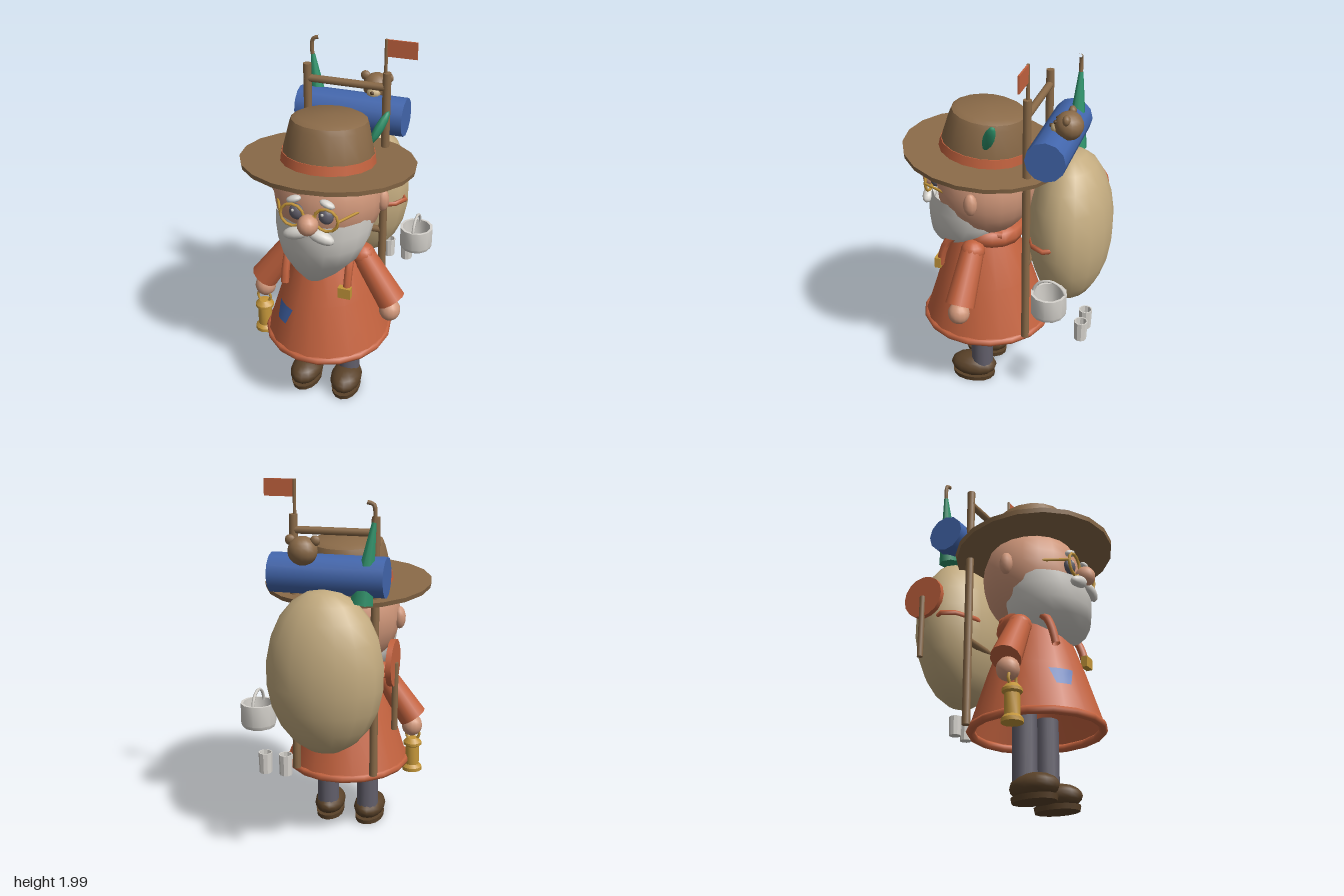
import * as THREE from 'three';
import { toCreasedNormals } from 'three/addons/utils/BufferGeometryUtils.js';

const mat = (name, color, side = THREE.FrontSide) => {
  const m = new THREE.MeshStandardMaterial({ color, side });
  m.name = name;
  return m;
};
const V = (x, y, z) => new THREE.Vector3(x, y, z);

export function createModel() {
  const root = new THREE.Group();
  root.name = 'travellingGnome';
  const red = mat('rust red', 0xc4633f, THREE.DoubleSide);
  const brown = mat('wood brown', 0x8a6a48);
  const tan = mat('canvas tan', 0xc4ac80);
  const blue = mat('blue', 0x4367ae, THREE.DoubleSide);
  const skin = mat('skin', 0xd0977a);
  const white = mat('off white', 0xd6d3cd, THREE.DoubleSide);
  const gold = mat('brass', 0xc4963a);
  const green = mat('leaf green', 0x2f946c);
  const dark = mat('dark leather', 0x5a4229);
  const slate = mat('slate', 0x625f6b);

  const add = (name, geo, material, pos = [0, 0, 0], parent = root) => {
    const m = new THREE.Mesh(geo, material);
    m.name = name;
    m.position.set(...pos);
    parent.add(m);
    return m;
  };
  const ball = (name, r, material, pos, parent = root, seg = 14) => {
    const m = add(name, new THREE.SphereGeometry(1, seg, Math.round(seg * 0.7)), material, pos, parent);
    m.scale.set(...r);
    return m;
  };
  // tapered rod from a (radius ra) to b (radius rb)
  const rod = (name, a, b, ra, rb, material, seg = 10, parent = root) => {
    const d = b.clone().sub(a);
    const m = add(name, new THREE.CylinderGeometry(rb, ra, d.length(), seg), material,
      a.clone().add(b).multiplyScalar(0.5).toArray(), parent);
    m.quaternion.setFromUnitVectors(V(0, 1, 0), d.normalize());
    return m;
  };
  const lathe = (pts, seg = 16, crease = 0.6) => toCreasedNormals(
    new THREE.LatheGeometry(pts.map(p => new THREE.Vector2(...p)), seg), crease);
  const tube = (name, pts, r, material, n = 12) => add(name,
    new THREE.TubeGeometry(new THREE.CatmullRomCurve3(pts), n, r, 7), material);

  // coat, hem and scarf
  const coatZ = 0.135;
  add('coat', lathe([[0.335, 0.42], [0.25, 0.7], [0.165, 0.95], [0.13, 1.02]], 18), red, [0, 0, coatZ]).scale.z = 1.05;
  const hem = add('coatHem', new THREE.TorusGeometry(0.327, 0.022, 7, 18), red, [0, 0.41, coatZ]);
  hem.rotation.x = Math.PI / 2;
  hem.scale.y = 1.05;
  const scarf = add('scarf', new THREE.TorusGeometry(0.145, 0.05, 8, 16), red, [0, 0.98, 0.115]);
  scarf.rotation.x = Math.PI / 2 - 0.08;
  scarf.scale.z = 1.15;

  // patch following the coat surface
  const patchGeo = new THREE.PlaneGeometry(1, 1, 4, 3);
  const pp = patchGeo.attributes.position;
  for (let i = 0; i < pp.count; i++) {
    const u = pp.getX(i) + 0.5, v = pp.getY(i) + 0.5;
    const x = -0.21 + u * (0.06 + 0.04 * v), y = 0.56 + v * 0.09;
    const r = 0.335 - (y - 0.42) * 0.304;
    pp.setXYZ(i, x, y, coatZ + 1.05 * Math.sqrt(r * r - x * x) + 0.012);
  }
  patchGeo.computeVertexNormals();
  add('coatPatch', patchGeo, blue);

  // limbs and straps, mirrored
  for (const s of [-1, 1]) {
    const side = s > 0 ? 'left' : 'right';
    rod(side + 'Leg', V(s * 0.118, 0.1, 0.13), V(s * 0.118, 0.5, 0.13), 0.063, 0.063, slate, 12);
    const shoe = new THREE.Group();
    shoe.name = side + 'Shoe';
    shoe.position.set(s * 0.12, 0, 0.182);
    shoe.rotation.y = s * 0.06;
    root.add(shoe);
    ball('shoeUpper', [0.088, 0.068, 0.135], dark, [0, 0.088, 0], shoe);
    add('shoeSole', new THREE.CylinderGeometry(0.082, 0.078, 0.028, 14), dark, [0, 0.026, 0], shoe).scale.z = 1.55;
    rod(side + 'Sleeve', V(s * 0.19, 0.93, 0.145), V(s * 0.367, 0.67, 0.165), 0.062, 0.08, red, 12);
    ball(side + 'Shoulder', [0.068, 0.062, 0.066], red, [s * 0.195, 0.92, 0.145]);
    ball(side + 'Hand', [0.058, 0.062, 0.06], skin, [s * 0.362, 0.615, 0.175]);
    tube(side + 'Strap', [V(s * 0.13, 1.0, 0.0), V(s * 0.16, 1.01, 0.15), V(s * 0.17, 0.95, 0.285),
      V(s * 0.172, 0.87, 0.325), V(s * 0.172, 0.785, 0.345)], 0.022, red);
    ball(side + 'Ear', [0.034, 0.062, 0.037], skin, [s * 0.29, 1.25, 0.12], root, 10);

    // face details
    ball(side + 'Eye', [0.04, 0.044, 0.03], slate, [s * 0.078, 1.258, 0.385], root, 12);
    ball(side + 'EyeGlint', [0.009, 0.009, 0.005], white, [s * 0.078 - 0.012, 1.275, 0.411], root, 6);
    add(side + 'GlassesRim', new THREE.TorusGeometry(0.062, 0.008, 6, 12), gold, [s * 0.09, 1.255, 0.42]);
    rod(side + 'GlassesArm', V(s * 0.152, 1.258, 0.42), V(s * 0.262, 1.258, 0.2), 0.007, 0.007, gold, 6);
    ball(side + 'Eyebrow', [0.042, 0.019, 0.024], white, [s * 0.088, 1.332, 0.395], root, 10).rotation.z = -s * 0.35;
    ball(side + 'Moustache', [0.075, 0.034, 0.035], white, [s * 0.065, 1.162, 0.43], root, 12).rotation.z = -s * 0.3;
  }
  rod('glassesBridge', V(-0.03, 1.265, 0.425), V(0.03, 1.265, 0.425), 0.007, 0.007, gold, 6);
  add('strapBuckle', new THREE.BoxGeometry(0.068, 0.06, 0.035), gold, [0.165, 0.8, 0.352]);

  // head, nose and beard
  ball('head', [0.29, 0.3, 0.27], skin, [0, 1.26, 0.125], root, 20);
  ball('nose', [0.054, 0.055, 0.055], skin, [0, 1.222, 0.438]);
  const rows = [[0.845, 0.005, 0.345, 0.005], [0.865, 0.06, 0.33, 0.07], [0.905, 0.13, 0.29, 0.13],
    [0.97, 0.205, 0.24, 0.2], [1.05, 0.242, 0.205, 0.24], [1.13, 0.258, 0.185, 0.258], [1.2, 0.262, 0.17, 0.25]];
  const beardGeo = new THREE.LatheGeometry(rows.map(r => new THREE.Vector2(r[1], r[0])), 18);
  const bp = beardGeo.attributes.position;
  for (let i = 0; i < bp.count; i++) {
    const [, rx, zc, rz] = rows[i % rows.length];
    bp.setZ(i, zc + bp.getZ(i) / rx * rz);
  }
  add('beard', beardGeo, white);

  // hat, tipped back
  const hat = new THREE.Group();
  hat.name = 'hat';
  hat.position.set(0, 1.43, 0.132);
  hat.rotation.x = -0.1;
  root.add(hat);
  add('hatBrim', new THREE.CylinderGeometry(0.455, 0.45, 0.025, 20), brown, [0, 0, 0], hat).scale.z = 0.95;
  add('hatBand', new THREE.CylinderGeometry(0.24, 0.247, 0.05, 18), red, [0, 0.036, 0], hat);
  add('hatCrown', lathe([[0.236, 0.01], [0.236, 0.06], [0.204, 0.2], [0.194, 0.228], [0.165, 0.243], [0, 0.248]], 18, 0.5), brown, [0, 0, 0], hat);
  const feather = ball('hatFeather', [0.024, 0.095, 0.03], green, [0.238, 1.608, 0.034], root, 8);
  feather.quaternion.setFromUnitVectors(V(0, 1, 0), V(0.075, 0.16, -0.07).normalize());

  // pack with its strap
  ball('pack', [0.31, 0.435, 0.223], tan, [0, 1.055, -0.342], root, 16);
  const band = add('packStrap', new THREE.TorusGeometry(1, 0.04, 6, 12), red, [0, 1.05, -0.27]);
  band.rotation.x = Math.PI / 2;
  band.scale.set(0.31, 0.14, 0.35);

  // carrying frame and flag
  for (const s of [-1, 1]) {
    rod('framePost', V(s * 0.216, 0.43, -0.155), V(s * 0.216, 1.825, -0.155), 0.022, 0.022, brown);
  }
  for (const y of [1.745, 0.9]) rod('frameRung', V(-0.225, y, -0.155), V(0.225, y, -0.155), 0.02, 0.02, brown);
  rod('flagPole', V(0.208, 1.8, -0.155), V(0.208, 2, -0.155), 0.009, 0.009, brown, 8);
  add('flag', new THREE.BoxGeometry(0.155, 0.088, 0.009), red, [0.292, 1.956, -0.155]);

  // bedroll and horn-shaped root
  rod('bedroll', V(-0.3, 1.545, -0.267), V(0.295, 1.545, -0.267), 0.104, 0.104, blue, 12);
  rod('greenHorn', V(-0.185, 1.42, -0.31), V(-0.243, 1.82, -0.31), 0.06, 0.012, green, 7);
  tube('hornStem', [V(-0.241, 1.8, -0.31), V(-0.248, 1.86, -0.308), V(-0.24, 1.905, -0.308), V(-0.208, 1.916, -0.31)], 0.011, brown, 8);

  // toy bear head on the bedroll
  const bear = new THREE.Group();
  bear.name = 'toyBear';
  bear.position.set(0.11, 1.672, -0.338);
  root.add(bear);
  ball('bearHead', [0.076, 0.073, 0.073], brown, [0, 0, 0], bear);
  ball('bearMuzzle', [0.038, 0.03, 0.03], tan, [0, -0.018, 0.062], bear, 10);
  ball('bearNose', [0.012, 0.01, 0.01], dark, [0, -0.008, 0.09], bear, 8);
  for (const s of [-1, 1]) {
    ball('bearEar', [0.027, 0.027, 0.02], brown, [s * 0.064, 0.052, 0], bear, 10);
    ball('bearEye', [0.01, 0.01, 0.01], dark, [s * 0.028, 0.022, 0.064], bear, 8);
  }

  // frying pan hung on the right
  rod('pan', V(-0.368, 1.14, -0.352), V(-0.34, 1.14, -0.352), 0.118, 0.118, red, 16);
  rod('panHandle', V(-0.367, 0.79, -0.352), V(-0.367, 1.14, -0.352), 0.016, 0.016, brown, 8);

  // cooking pot and cups hung on the left
  add('pot', lathe([[0, 0.725], [0.085, 0.725], [0.094, 0.745], [0.094, 0.855], [0.08, 0.855], [0.078, 0.745], [0, 0.74]], 12), white, [0.37, 0, -0.323]);
  add('potHandle', new THREE.TorusGeometry(0.083, 0.008, 6, 12, Math.PI), white, [0.37, 0.84, -0.323]).rotation.y = Math.PI / 2;
  for (const x of [0.28, 0.17]) {
    add('cup', lathe([[0, 0.535], [0.033, 0.535], [0.036, 0.645], [0.03, 0.645], [0.028, 0.55], [0, 0.55]], 10), white, [x, 0, -0.478]);
  }

  // lantern in the right hand
  add('lantern', lathe([[0, 0.335], [0.056, 0.335], [0.056, 0.355], [0.04, 0.372], [0.038, 0.48], [0.052, 0.49],
    [0.052, 0.505], [0.03, 0.53], [0, 0.535]], 12), gold, [-0.363, 0, 0.2]);
  add('lanternRing', new THREE.TorusGeometry(0.038, 0.008, 6, 12), gold, [-0.363, 0.555, 0.2]);
  return root;
}
